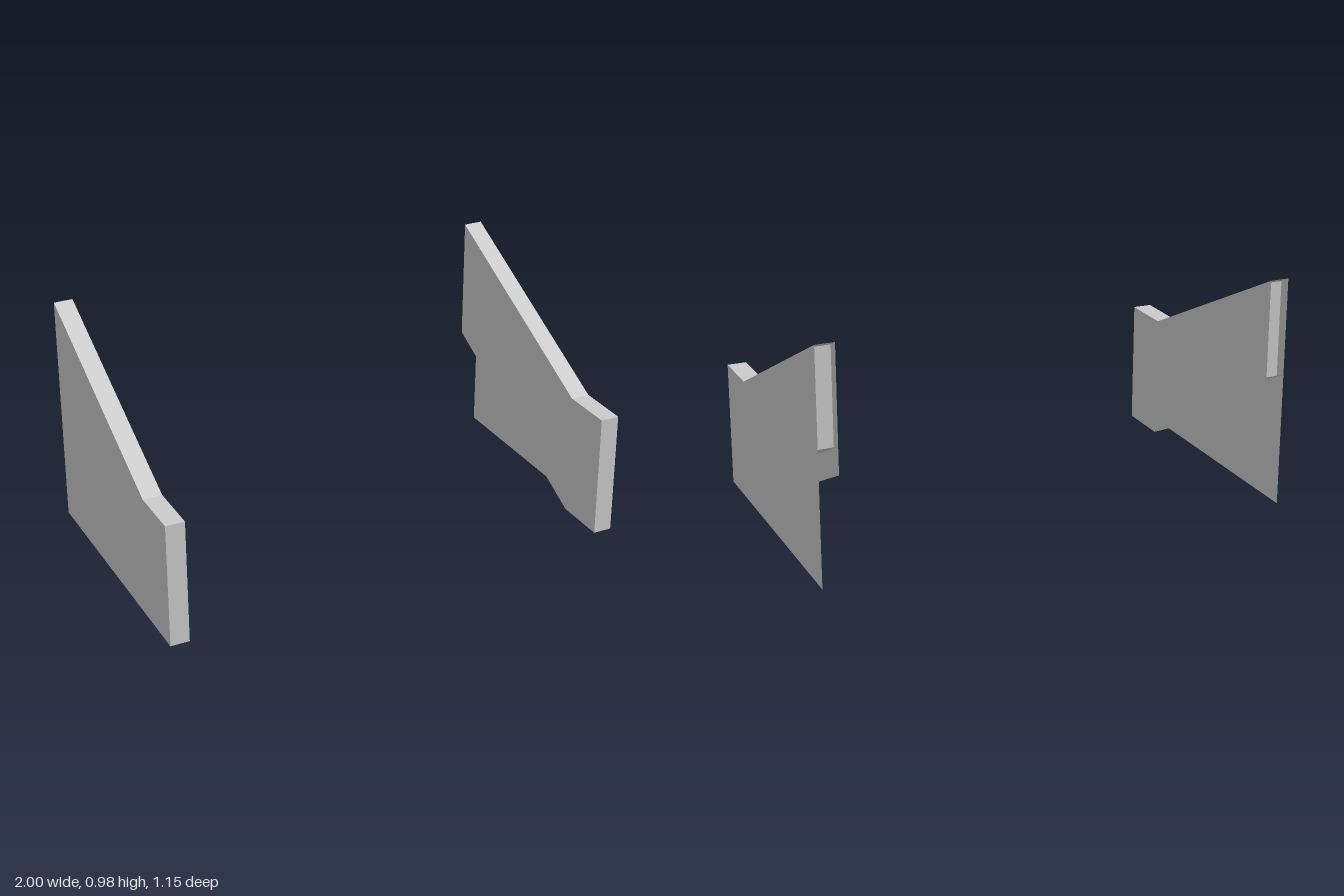
import * as THREE from 'three';

const INNER = 0.92, OUTER = 1;
const material = new THREE.MeshStandardMaterial({ color: 0xcccccc, side: THREE.DoubleSide, flatShading: true });

// Side profiles as [z, y]
const top = [[0.575, 0.53], [0.35, 0.53], [-0.575, 0.98]];
const outerProfile = [[0.575, 0], ...top, [-0.575, 0]];
const innerProfile = [[0.575, 0], ...top, [-0.575, 0.455], [0.35, 0]];
const shellPath = [[0.575, 0], ...top];
const recessPath = [[-0.525, 0.955], [-0.525, 0.546]];
const floorPath = [[-0.575, 0.57], [0.35, 0.12], [0.575, 0.12]];

// Flat plate in the zy plane at a given x
function plate(name, profile, x) {
  const shape = new THREE.Shape(profile.map(([z, y]) => new THREE.Vector2(z, y)));
  const geometry = new THREE.ShapeGeometry(shape).rotateY(-Math.PI / 2).translate(x, 0, 0);
  const mesh = new THREE.Mesh(geometry, material);
  mesh.name = name;
  return mesh;
}

// Ribbon that spans the panel thickness along a path of [z, y] points
function strip(name, path, x0, x1) {
  const positions = [];
  for (let i = 0; i < path.length - 1; i++) {
    const [pz, py] = path[i], [qz, qy] = path[i + 1];
    positions.push(x0, py, pz, x1, py, pz, x1, qy, qz);
    positions.push(x0, py, pz, x1, qy, qz, x0, qy, qz);
  }
  const geometry = new THREE.BufferGeometry();
  geometry.setAttribute('position', new THREE.Float32BufferAttribute(positions, 3));
  geometry.computeVertexNormals();
  const mesh = new THREE.Mesh(geometry, material);
  mesh.name = name;
  return mesh;
}

export function createModel() {
  const model = new THREE.Group();
  model.name = 'sidePanels';
  for (const side of [1, -1]) {
    const panel = new THREE.Group();
    panel.name = side > 0 ? 'leftPanel' : 'rightPanel';
    const x0 = Math.min(side * INNER, side * OUTER);
    const x1 = Math.max(side * INNER, side * OUTER);
    panel.add(
      plate('outerPlate', outerProfile, side * OUTER),
      plate('innerPlate', innerProfile, side * INNER),
      strip('frontAndTopEdge', shellPath, x0, x1),
      strip('recessedBackWall', recessPath, x0, x1),
      strip('recessedFloor', floorPath, x0, x1)
    );
    model.add(panel);
  }
  return model;
}
